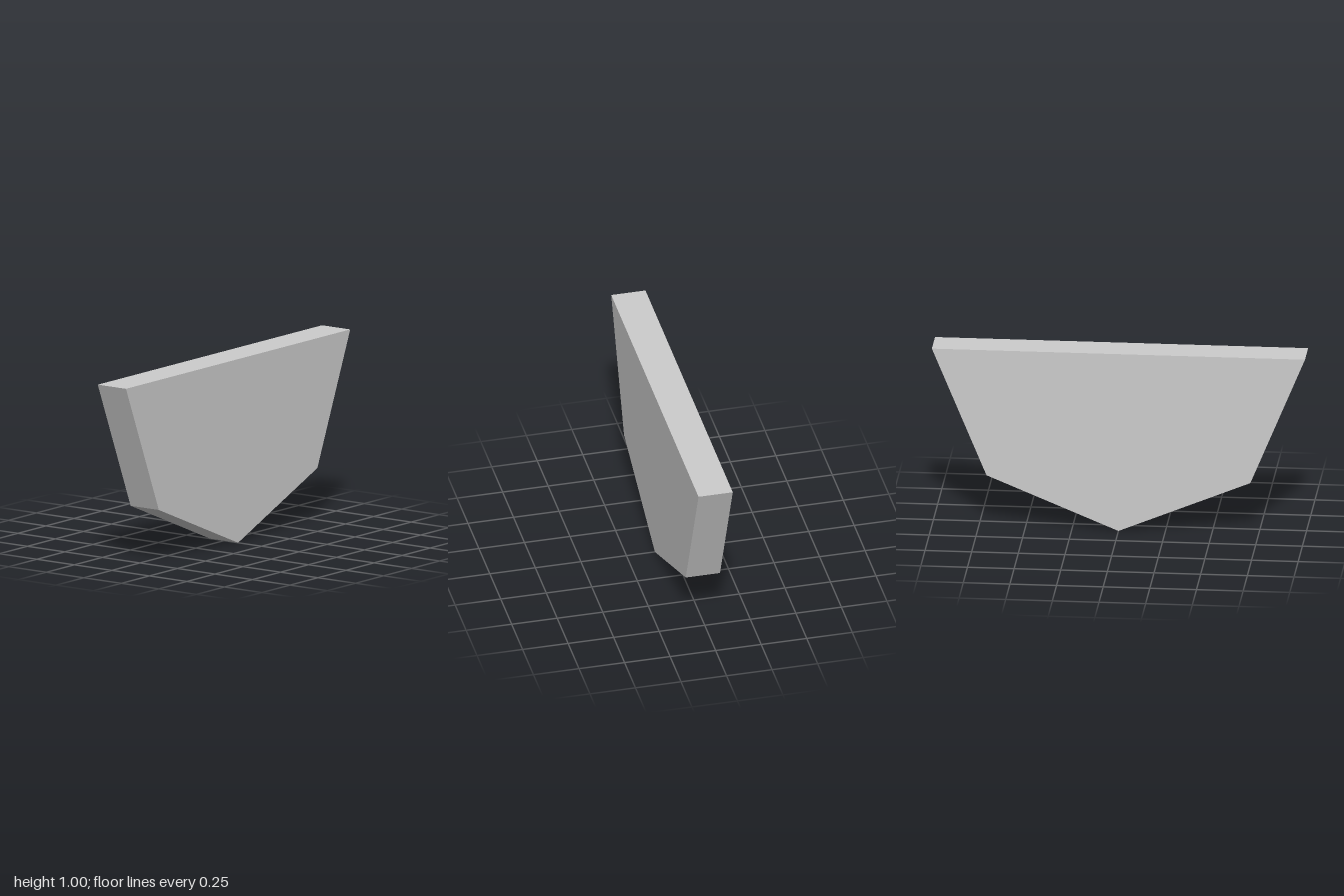
import * as THREE from 'three';

export function createModel() {
  const group = new THREE.Group();
  group.name = 'halfOctagonPanel';

  // Lower half of an octagon, flat edge on top
  const sides = 4, depth = 0.188;
  const points = [];
  for (let i = 0; i <= sides; i++) {
    const a = Math.PI + (i / sides) * Math.PI;
    points.push(new THREE.Vector2(Math.cos(a), 1 + Math.sin(a)));
  }

  // Straight slab, centred on z = 0
  const geometry = new THREE.ExtrudeGeometry(new THREE.Shape(points), { depth, bevelEnabled: false });
  geometry.translate(0, 0, -depth / 2);

  const panel = new THREE.Mesh(
    geometry,
    new THREE.MeshStandardMaterial({ color: 0xcccccc, flatShading: true })
  );
  panel.name = 'panel';
  group.add(panel);
  return group;
}
